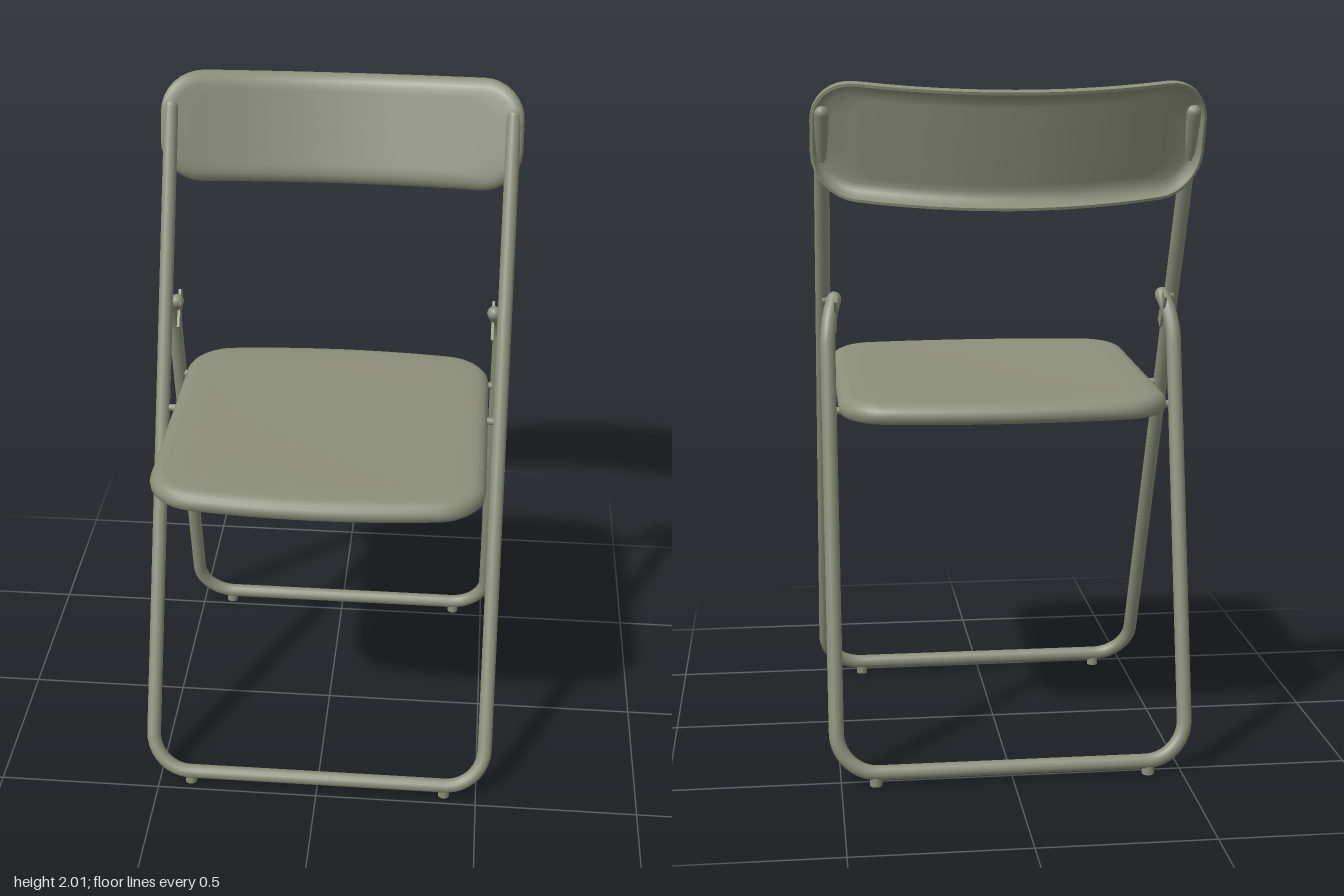
import * as THREE from 'three';
import { mergeVertices, toCreasedNormals } from 'three/addons/utils/BufferGeometryUtils.js';

const V = (x, y, z) => new THREE.Vector3(x, y, z);
const TUBE = 0.022;

// Polyline with every inner corner rounded off
function roundedPath(points, radii) {
  const path = new THREE.CurvePath();
  let from = points[0];
  for (let i = 1; i < points.length - 1; i++) {
    const c = points[i], r = radii[i - 1];
    const a = c.clone().add(points[i - 1].clone().sub(c).setLength(r));
    const b = c.clone().add(points[i + 1].clone().sub(c).setLength(r));
    const k = 0.55;
    path.add(new THREE.LineCurve3(from, a));
    path.add(new THREE.CubicBezierCurve3(a, a.clone().lerp(c, k), b.clone().lerp(c, k), b));
    from = b;
  }
  path.add(new THREE.LineCurve3(from, points[points.length - 1]));
  return path;
}

// Rounded rectangle, counter-clockwise, with subdivided straight sides
function outline(w, h, r) {
  const pts = [], arc = 8, side = 12;
  const corners = [[1, 1], [-1, 1], [-1, -1], [1, -1]];
  const at = (i, t) => {
    const [sx, sy] = corners[i % 4], a = (i + t) * Math.PI / 2;
    return [sx * (w - r) + r * Math.cos(a), sy * (h - r) + r * Math.sin(a)];
  };
  for (let i = 0; i < 4; i++) {
    for (let j = 0; j <= arc; j++) pts.push(at(i, j / arc));
    const a = at(i, 1), b = at(i + 1, 0);
    for (let j = 1; j < side; j++) {
      const t = j / side;
      pts.push([a[0] + (b[0] - a[0]) * t, a[1] + (b[1] - a[1]) * t]);
    }
  }
  return pts;
}

// Hollow pressed panel: face, rolled rim and recessed back, placed by map(p, q, depth)
function pressedPanel(w, h, r, rim, map) {
  const steps = [0, 0.12, 0.25, 0.38, 0.5, 0.62, 0.74, 0.86, 1];
  const first = rim[0], last = rim[rim.length - 1];
  const rings = [
    ...steps.map(s => [s, first[0], first[1]]),
    ...rim.slice(1).map(([inset, d]) => [1, inset, d]),
    ...steps.slice(0, -1).reverse().map(s => [s, last[0], last[1]]),
  ];
  const pos = [], index = [];
  let n = 0;
  for (const [s, inset, d] of rings) {
    const pts = outline(w - inset, h - inset, r - inset);
    n = pts.length;
    for (const [p, q] of pts) pos.push(...map(p * s, q * s, d));
  }
  for (let k = 0; k < rings.length - 1; k++) {
    for (let j = 0; j < n; j++) {
      const a = k * n + j, b = k * n + (j + 1) % n;
      if (rings[k + 1][0] > 0) index.push(a, a + n, b + n);
      if (rings[k][0] > 0) index.push(a, b + n, b);
    }
  }
  const geo = new THREE.BufferGeometry();
  geo.setAttribute('position', new THREE.Float32BufferAttribute(pos, 3));
  geo.setIndex(index);
  return toCreasedNormals(mergeVertices(geo, 1e-5), 0.8);
}

export function createModel() {
  const model = new THREE.Group();
  model.name = 'foldingChair';
  const paint = new THREE.MeshStandardMaterial({ color: 0x8c8f7a });
  paint.name = 'sageGreyPaint';

  const add = (name, geo, x = 0, y = 0, z = 0) => {
    const mesh = new THREE.Mesh(geo, paint);
    mesh.name = name;
    mesh.position.set(x, y, z);
    model.add(mesh);
    return mesh;
  };

  // Bent tube frame with rounded ends
  const frame = (name, half, radii) => {
    const mirrored = half.map(p => V(-p.x, p.y, p.z)).reverse();
    const path = roundedPath([...half, ...mirrored], [...radii, ...[...radii].reverse()]);
    add(name, new THREE.TubeGeometry(path, 260, TUBE, 14));
    for (const s of [1, -1]) {
      add(name + 'End', new THREE.SphereGeometry(TUBE, 14, 10), s * half[0].x, half[0].y, half[0].z);
    }
  };
  frame('frontFrame', [V(0.522, 1.92, -0.415), V(0.522, 0.038, 0.46)], [0.12]);
  frame('rearFrame',
    [V(0.49, 1.375, -0.18), V(0.512, 1.31, -0.24), V(0.512, 0.038, -0.528)], [0.06, 0.12]);

  // Seat: tilted slightly back, bowed front and rear edges, shallow dish
  const seatRim = [[0.045, 0], [0.03, -0.002], [0.014, -0.009], [0.004, -0.02], [0, -0.034],
    [0.002, -0.05], [0.012, -0.059], [0.035, -0.059], [0.042, -0.052], [0.044, -0.02]];
  add('seat', pressedPanel(0.485, 0.475, 0.13, seatRim, (p, q, d) => {
    const u = p / 0.485, v = q / 0.475;
    const z = -q - 0.045 * v * (1 - u * u);
    const dish = 0.008 * Math.max(0, 1 - u * u) * Math.max(0, 1 - v * v);
    return [p, 1.12 + 0.037 * z + d - dish, z + 0.065];
  }));

  // Backrest: leaning panel curved around the sitter
  const lean = 0.3, cos = Math.cos(lean), sin = Math.sin(lean);
  const backRim = [[0.04, 0], [0.026, -0.003], [0.012, -0.01], [0.003, -0.022], [0, -0.036],
    [0, -0.056], [0.008, -0.056], [0.009, -0.034], [0.02, -0.018], [0.04, -0.009]];
  add('backrest', pressedPanel(0.555, 0.17, 0.125, backRim, (p, q, d) => {
    const u = p / 0.555, e = d - 0.13 * (1 - u * u);
    return [p, 1.871 + q * cos + e * sin, -0.37 - q * sin + e * cos];
  }));

  for (const s of [1, -1]) {
    // Pivots joining the frames and the seat
    const pin = (name, x, y, z, r, len) => {
      add(name, new THREE.CylinderGeometry(r, r, len, 14), s * x, y, z).rotation.z = Math.PI / 2;
    };
    pin('framePivot', 0.5, 1.372, -0.175, 0.014, 0.05);
    pin('seatPivot', 0.482, 1.082, -0.026, 0.011, 0.07);
    pin('rearSeatPivot', 0.475, 1.062, -0.29, 0.011, 0.07);

    // Flattened hinge tab at the top of the rear leg
    const tab = add('hingeTab', new THREE.BoxGeometry(0.008, 0.12, 0.035), s * 0.487, 1.335, -0.205);
    tab.rotation.x = -0.6;

    // Support strip below the seat edge
    const strip = add('seatBracket', new THREE.BoxGeometry(0.02, 0.025, 0.34), s * 0.44, 1.062, -0.16);
    strip.rotation.x = -0.037;

    // Feet under both floor bars
    for (const z of [0.46, -0.528]) {
      add('foot', new THREE.CylinderGeometry(0.018, 0.018, 0.03, 14), s * 0.4, 0.015, z);
    }
  }
  return model;
}
